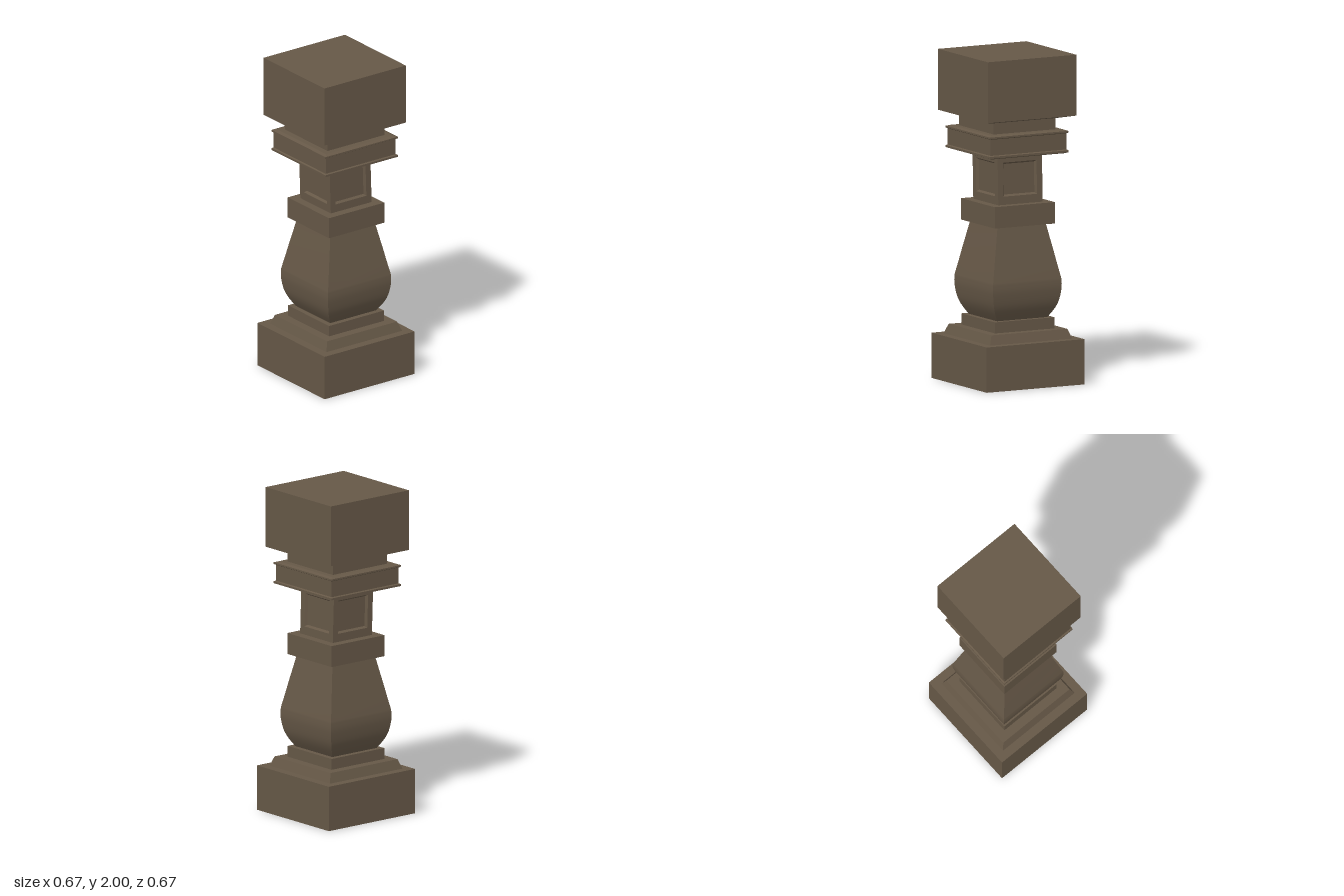
import * as THREE from 'three';
import { mergeGeometries } from 'three/addons/utils/BufferGeometryUtils.js';

// Repeats one +z side geometry on all four sides
function fourSides(side) {
  return mergeGeometries([0, 1, 2, 3].map(k => side.clone().rotateY(k * Math.PI / 2)));
}

function makeSide(points, index) {
  const g = new THREE.BufferGeometry();
  g.setAttribute('position', new THREE.Float32BufferAttribute(points, 3));
  g.setIndex(index);
  return g;
}

function flat(g) {
  const f = g.toNonIndexed();
  f.computeVertexNormals();
  return f;
}

// Square-section turning: profile is [half width, y] from bottom to top
function squareLoft(profile, smooth = false) {
  const points = [], index = [];
  profile.forEach(([h, y], i) => {
    points.push(-h, y, h, h, y, h);
    if (i < profile.length - 1) {
      const a = i * 2;
      index.push(a, a + 1, a + 3, a, a + 3, a + 2);
    }
  });
  const g = fourSides(makeSide(points, index));
  if (!smooth) return flat(g);
  g.computeVertexNormals();
  return g;
}

// Closes a profile at both ends
const closed = p => [[0, p[0][1]], ...p, [0, p[p.length - 1][1]]];

// Square shaft with a recessed bevelled panel on each side
function panelledShaft() {
  const half = 0.153;
  const rings = [ // half width, bottom, top, depth
    [half, 1.10, 1.40, 0],
    [0.115, 1.15, 1.355, 0],
    [0.105, 1.16, 1.345, 0.015],
  ];
  const points = [], index = [];
  rings.forEach(([w, y0, y1, d], r) => {
    const z = half - d;
    points.push(-w, y0, z, w, y0, z, w, y1, z, -w, y1, z);
    if (r === rings.length - 1) return;
    for (let j = 0; j < 4; j++) {
      const a = r * 4 + j, b = r * 4 + (j + 1) % 4;
      index.push(a, b, b + 4, a, b + 4, a + 4);
    }
  });
  const c = (rings.length - 1) * 4;
  index.push(c, c + 1, c + 2, c, c + 2, c + 3);
  const g = fourSides(makeSide(points, index));
  // The shaft leans slightly towards -x
  const p = g.attributes.position;
  for (let i = 0; i < p.count; i++) p.setX(i, p.getX(i) - 0.01 * (p.getY(i) - 1.1) / 0.3);
  return flat(g);
}

export function createModel() {
  const group = new THREE.Group();
  const stone = new THREE.MeshStandardMaterial({ color: 0x665847 });
  stone.name = 'brown stone';

  const add = (name, geometry, x = 0) => {
    const mesh = new THREE.Mesh(geometry, stone);
    mesh.name = name;
    mesh.position.x = x;
    group.add(mesh);
  };

  // Base
  add('plinth', squareLoft(closed([[0.337, 0], [0.337, 0.275]])));
  add('plinthBevel', squareLoft(closed([[0.284, 0.274], [0.262, 0.333]])));
  add('footBlock', squareLoft(closed([[0.206, 0.332], [0.206, 0.4]])));

  // Bulging body: curved belly, straight taper above
  const belly = new THREE.SplineCurve([
    [0.172, 0.398], [0.203, 0.45], [0.223, 0.5], [0.234, 0.56], [0.237, 0.6], [0.235, 0.64],
  ].map(p => new THREE.Vector2(...p))).getPoints(12).map(v => [v.x, v.y]);
  add('vaseBody', squareLoft([...belly, [0.218, 0.72], [0.202, 0.8], [0.184, 0.885], [0.166, 0.972]], true));
  add('collarBlock', squareLoft(closed([[0.207, 0.97], [0.207, 1.1]])));

  // Upper shaft
  add('panelledShaft', panelledShaft());

  // Capital, set slightly to one side
  const shift = -0.01;
  add('capitalMoulding', squareLoft(closed([
    [0.25, 1.398], [0.271, 1.405], [0.271, 1.417], [0.262, 1.422],
    [0.262, 1.52], [0.271, 1.525], [0.271, 1.535], [0.25, 1.542],
  ])), shift);
  add('neck', squareLoft(closed([[0.213, 1.54], [0.213, 1.615]])), shift);
  add('topBlock', squareLoft(closed([[0.225, 1.612], [0.305, 1.63], [0.305, 2]])), shift);
  return group;
}
